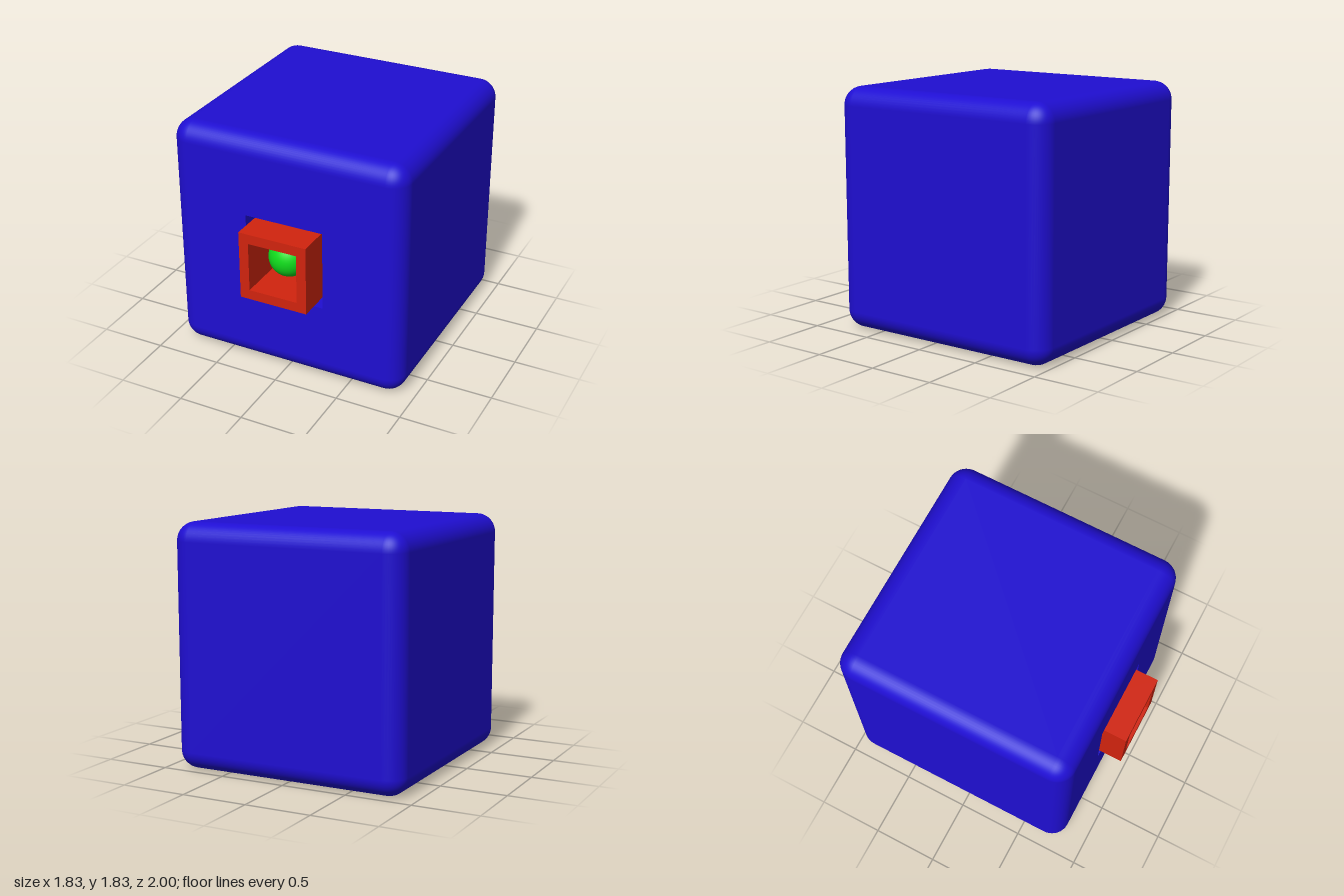
import * as THREE from 'three';
import { RoundedBoxGeometry } from 'three/addons/geometries/RoundedBoxGeometry.js';

const CY = 0.913; // height of the common centre line

// Removes the flat face that lies on the geometry's +z side.
function dropFront(source) {
  const geo = source.index ? source.toNonIndexed() : source.clone();
  geo.computeBoundingBox();
  const front = geo.boundingBox.max.z - 1e-4;
  const pos = geo.attributes.position;
  const keep = [];
  for (let i = 0; i < pos.count; i += 3) {
    if (Math.min(pos.getZ(i), pos.getZ(i + 1), pos.getZ(i + 2)) < front) keep.push(i, i + 1, i + 2);
  }
  geo.setIndex(keep);
  geo.clearGroups();
  return geo;
}

// Square outline of side 2 * half, centred on the origin.
function square(half, Type = THREE.Shape) {
  return new Type([[-1, -1], [1, -1], [1, 1], [-1, 1]].map(([x, y]) => new THREE.Vector2(x * half, y * half)));
}

function squareWithHole(outer, inner) {
  const shape = square(outer);
  shape.holes.push(square(inner, THREE.Path));
  return shape;
}

export function createModel() {
  const model = new THREE.Group();
  model.name = 'cubeWithSocket';

  const blue = new THREE.MeshStandardMaterial({ color: 0x1f0ed2 });
  const blueInside = new THREE.MeshStandardMaterial({ color: 0x1f0ed2, side: THREE.BackSide });
  const red = new THREE.MeshStandardMaterial({ color: 0xd2240e });
  const green = new THREE.MeshStandardMaterial({ color: 0x10dc1c });

  const add = (name, geometry, material, z, x = 0) => {
    const mesh = new THREE.Mesh(geometry, material);
    mesh.name = name;
    mesh.position.set(x, CY, z);
    model.add(mesh);
  };

  // Rounded cube, its front face replaced by a panel with a square opening
  const size = 2 * CY, radius = 0.14, front = 0.826, hole = 0.305, floor = 0.42;
  add('body', dropFront(new RoundedBoxGeometry(size, size, size, 6, radius)), blue, front - CY);
  add('frontPanel', new THREE.ShapeGeometry(squareWithHole(CY - radius, hole)), blue, front);

  // Square recess behind the opening
  const depth = front - floor;
  add('recess', dropFront(new THREE.BoxGeometry(hole * 2, hole * 2, depth)), blueInside, front - depth / 2);

  // Square tube standing out of the recess
  const tube = new THREE.ExtrudeGeometry(squareWithHole(0.265, 0.19), { depth: 0.53, bevelEnabled: false });
  add('squareTube', tube, red, 0.47);

  // Ball inside the tube
  add('ball', new THREE.SphereGeometry(0.152, 40, 24), green, 0.725, -0.01);

  return model;
}
